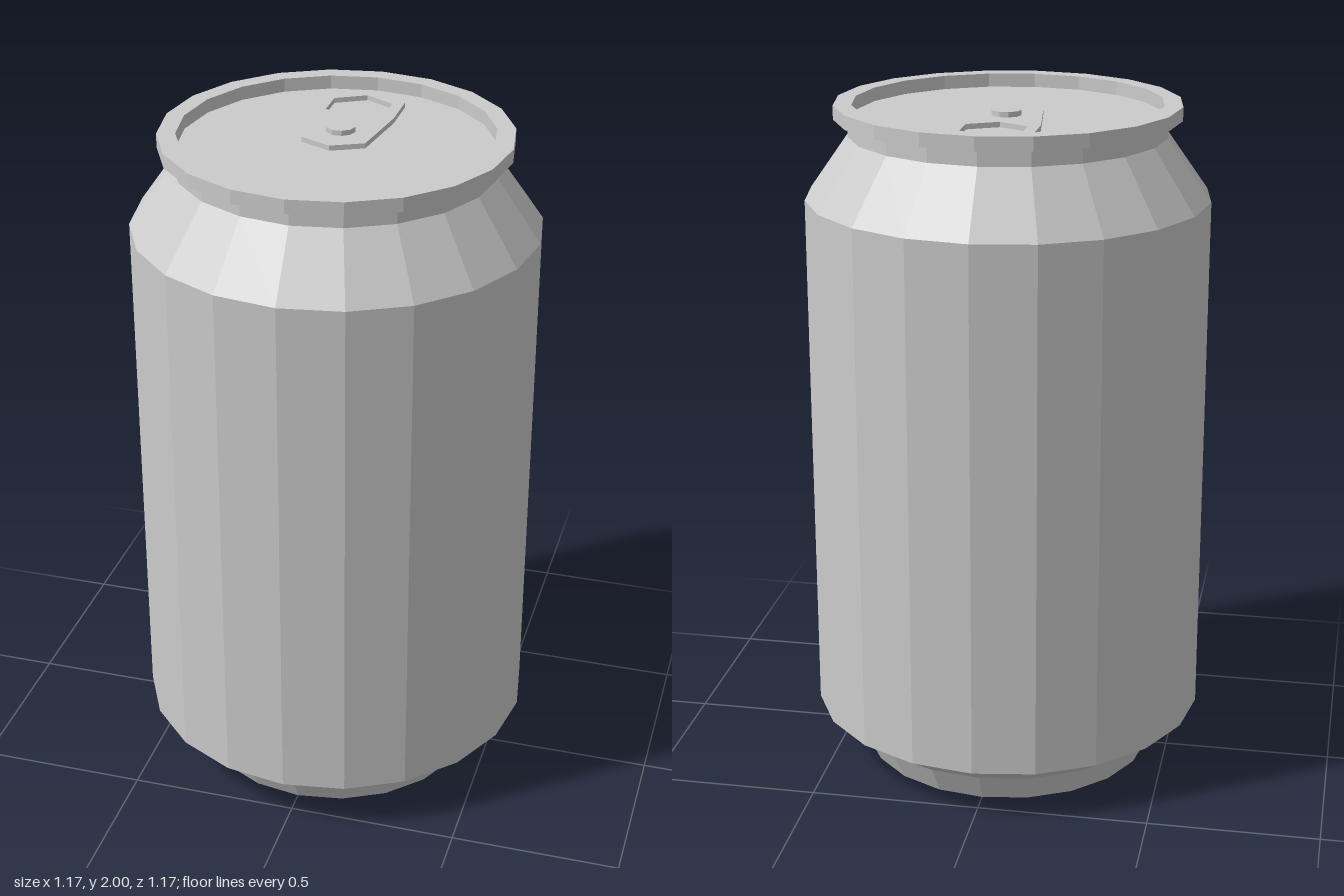
import * as THREE from 'three';

const SIDES = 20;
const material = new THREE.MeshStandardMaterial({ color: 0xcccccc, flatShading: true });

function addPart(group, name, geometry) {
  const geo = geometry.index ? geometry.toNonIndexed() : geometry;
  geo.computeVertexNormals();
  const mesh = new THREE.Mesh(geo, material);
  mesh.name = name;
  group.add(mesh);
  return mesh;
}

// Faceted ring surface from [radius, height] pairs
const lathe = (profile) =>
  new THREE.LatheGeometry(profile.map(([r, y]) => new THREE.Vector2(r, y)), SIDES);

// Flat horizontal disc, facing up or down
const disc = (radius, y, up) =>
  new THREE.CircleGeometry(radius, SIDES).rotateX(up ? -Math.PI / 2 : Math.PI / 2).translate(0, y, 0);

// Outline points given as [x, z] seen from above
const outline = (points) => points.map(([x, z]) => new THREE.Vector2(x, -z));

export function createModel() {
  const can = new THREE.Group();
  can.name = 'drinkCan';
  const lidY = 1.96;

  // Wall, from the edge of the domed base up to the neck
  addPart(can, 'body', lathe([
    [0.155, 0.07], [0.435, 0], [0.475, 0.085], [0.587, 0.16],
    [0.587, 1.73], [0.46, 1.91], [0.46, lidY],
  ]));
  addPart(can, 'baseCentre', disc(0.155, 0.07, false));

  // Rim standing out over the neck, with the lid sunk inside it
  addPart(can, 'rim', lathe([[0.46, lidY], [0.5, lidY], [0.5, 2], [0.447, 2], [0.447, lidY]]));
  addPart(can, 'lid', disc(0.447, lidY, true));

  // Pull tab with a six-sided finger hole
  const cx = -0.008;
  const tab = new THREE.Shape(outline([
    [cx, -0.395], [cx - 0.12, -0.33], [cx - 0.12, -0.2], [cx - 0.092, 0.006],
    [cx, 0.05], [cx + 0.092, 0.006], [cx + 0.12, -0.2], [cx + 0.12, -0.33],
  ]));
  tab.holes.push(new THREE.Path(outline([
    [cx, -0.36], [cx + 0.087, -0.312], [cx + 0.087, -0.222],
    [cx, -0.175], [cx - 0.087, -0.222], [cx - 0.087, -0.312],
  ])));
  const tabGeo = new THREE.ExtrudeGeometry(tab, { depth: 0.015, bevelEnabled: false });
  addPart(can, 'pullTab', tabGeo.rotateX(-Math.PI / 2).translate(0, lidY, 0));

  // Rivet holding the tab
  const rivet = new THREE.CylinderGeometry(0.043, 0.043, 0.03, 10).rotateY(Math.PI / 2);
  addPart(can, 'rivet', rivet.translate(cx, lidY + 0.015, -0.07));

  return can;
}
